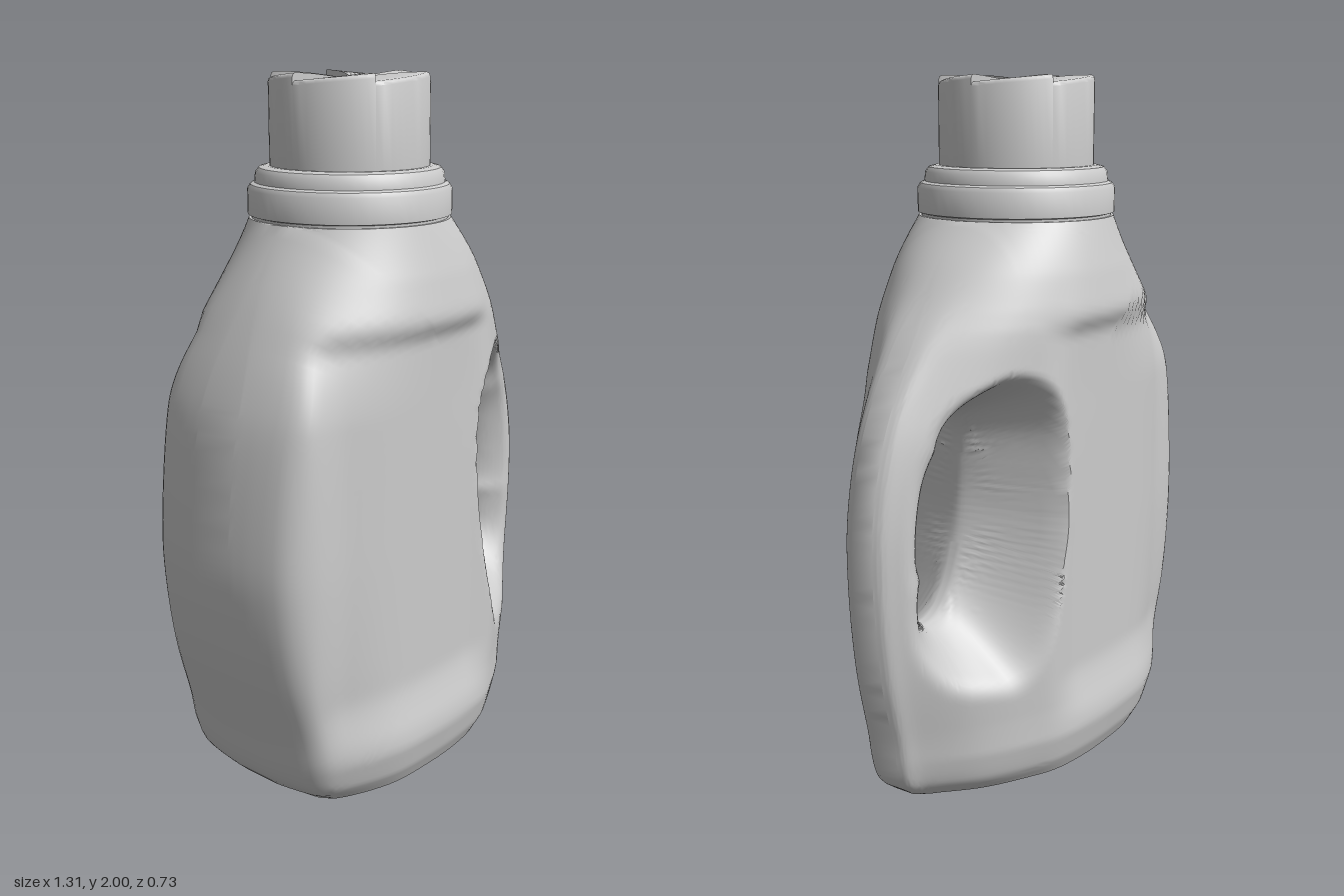
import * as THREE from 'three';
import { toCreasedNormals } from 'three/addons/utils/BufferGeometryUtils.js';

const material = new THREE.MeshStandardMaterial({ color: 0xcccccc });
const NECK_X = -0.085;
const smooth = THREE.MathUtils.smoothstep;

const spline = (pts, n, closed = false) => {
  const c = new THREE.CatmullRomCurve3(pts.map(([x, y]) => new THREE.Vector3(x, y, 0)), closed, 'centripetal');
  return c.getPoints(n).map((p) => [p.x, p.y]);
};

// Piecewise linear lookup in a list of [key, value] sorted by key
function lookup(table, k) {
  if (k <= table[0][0]) return table[0][1];
  for (let i = 1; i < table.length; i++) {
    if (k <= table[i][0]) {
      const [a, va] = table[i - 1], [b, vb] = table[i];
      return va + (vb - va) * (k - a) / Math.max(b - a, 1e-9);
    }
  }
  return table[table.length - 1][1];
}

// Skin over rows of points, each row a closed loop
function skin(name, rows, crease) {
  const n = rows[0].length, index = [];
  for (let r = 0; r < rows.length - 1; r++) {
    for (let i = 0; i < n; i++) {
      const j = (i + 1) % n;
      const a = r * n + i, b = (r + 1) * n + i, c = (r + 1) * n + j, d = r * n + j;
      index.push(a, b, c, a, c, d);
    }
  }
  const g = new THREE.BufferGeometry();
  g.setAttribute('position', new THREE.Float32BufferAttribute(rows.flat(2), 3));
  g.setIndex(index);
  const mesh = new THREE.Mesh(toCreasedNormals(g, crease), material);
  mesh.name = name;
  return mesh;
}

// Side outlines, bottom to top
const leftSide = spline([[-0.48, 0], [-0.525, 0.05], [-0.565, 0.2], [-0.62, 0.4], [-0.65, 0.6], [-0.655, 0.75],
  [-0.62, 1.06], [-0.58, 1.2], [-0.49, 1.4], [-0.37, 1.605]], 60);
const rightSide = spline([[0.49, 0], [0.545, 0.05], [0.58, 0.2], [0.625, 0.4], [0.65, 0.65], [0.645, 0.85],
  [0.59, 1.07], [0.48, 1.27], [0.38, 1.4], [0.3, 1.5], [0.2, 1.605]], 70);
const flip = (pts) => pts.map(([x, y]) => [y, x]);
const leftOf = flip(leftSide), rightOf = flip(rightSide);

// Half depth by height, and the teardrop plan from left end to handle end
const depthOf = [[0, 0.32], [0.05, 0.345], [0.13, 0.365], [0.22, 0.36], [1.33, 0.357], [1.38, 0.35], [1.47, 0.328], [1.605, 0.285]];
const plan = spline([[0, 0.2], [0.012, 0.45], [0.035, 0.69], [0.075, 0.8], [0.24, 0.98], [0.38, 1], [0.5, 0.985],
  [0.63, 0.92], [0.73, 0.78], [0.85, 0.56], [0.96, 0.25], [0.99, 0.17], [1, 0.1]], 120);

// Grip opening
const HX = 0.33, HY = 0.8;
const hole = spline([[0.465, 0.8], [0.44, 0.91], [0.395, 0.99], [0.38, 1.05], [0.33, 1.085], [0.26, 1.08], [0.22, 1.02],
  [0.208, 0.9], [0.215, 0.78], [0.24, 0.67], [0.29, 0.56], [0.35, 0.5], [0.41, 0.49], [0.46, 0.54],
  [0.462, 0.61], [0.452, 0.66], [0.467, 0.71]], 100, true);
const holeRadius = hole.map(([x, y]) => [Math.atan2(y - HY, x - HX), Math.hypot(x - HX, y - HY)])
  .sort((a, b) => a[0] - b[0]);
holeRadius.unshift([holeRadius.at(-1)[0] - 2 * Math.PI, holeRadius.at(-1)[1]]);
holeRadius.push([holeRadius[1][0] + 2 * Math.PI, holeRadius[1][1]]);

function halfDepth(x, y, d) {
  const xl = lookup(leftOf, y), xr = lookup(rightOf, y);
  const u = THREE.MathUtils.clamp((x - xl) / (xr - xl), 0, 1);
  // teardrop plan turning into a circle at the neck
  const round = Math.sqrt(Math.max(0, 1 - (2 * u - 1) ** 2));
  const w = smooth(y, 1.1, 1.6);
  let base = lookup(depthOf, y) * (lookup(plan, u) * (1 - w) + round * w);
  // label panel recess
  base -= 0.03 * smooth(y, 0.15, 0.32) * (1 - smooth(y, 1.29, 1.36))
    * smooth(x, -0.56, -0.42) * (1 - smooth(x, 0.05, 0.22));
  // finger scoop around the grip: steep towards the body, rounded on the handle
  const ex = (x - HX) / 0.13, ey = (y - HY) / 0.3, len = Math.hypot(ex, ey);
  const cx = ex / len, cy = ey / len;
  const k = 3.6 * Math.max(0, -cx) ** 2 + (cy > 0 ? 1.8 : 1.2) * cy * cy;
  const scoop = Math.sqrt(0.12 * d + (k * d) ** 2);
  const m = Math.max(0.04 - Math.abs(base - scoop), 0) / 0.04;
  return Math.max(0, Math.min(base, scoop) - m * m * 0.01 * Math.min(1, d / 0.03));
}

// Bottle body: rings from the grip opening to the outline, front then back
function body() {
  const line = (a, b, n) => Array.from({ length: n }, (_, i) =>
    [a[0] + (b[0] - a[0]) * i / n, a[1] + (b[1] - a[1]) * i / n]);
  const outline = [
    ...line(leftSide[0], rightSide[0], 36), ...rightSide.slice(0, -1),
    ...line(rightSide.at(-1), leftSide.at(-1), 28), ...leftSide.slice(1).reverse(),
  ];
  const inner = outline.map(([x, y]) => {
    const a = Math.atan2(y - HY, x - HX), r = lookup(holeRadius, a);
    return [HX + r * Math.cos(a), HY + r * Math.sin(a)];
  });
  const RINGS = 52, front = [];
  for (let r = 0; r <= RINGS; r++) {
    const t = (1 - Math.cos(Math.PI * r / RINGS)) / 2;
    front.push(outline.map(([ox, oy], i) => {
      const [ix, iy] = inner[i];
      const x = ix + (ox - ix) * t, y = iy + (oy - iy) * t;
      let d = Math.hypot(x - ix, y - iy);
      if (r > 0) for (const [hx, hy] of hole) d = Math.min(d, Math.hypot(x - hx, y - hy));
      return [x, y, r === 0 ? 0 : halfDepth(x, y, d)];
    }));
  }
  const back = front.map((ring) => ring.map(([x, y, z]) => [x, y, -z])).reverse();
  return skin('bottleBody', [...front, ...back], 0.85);
}

// Stepped collar below the cap
function collar() {
  const pts = [[0.27, 1.59], [0.278, 1.6], [0.278, 1.612], [0.288, 1.615], [0.288, 1.685], [0.28, 1.698],
    [0.268, 1.703], [0.265, 1.73], [0.255, 1.743], [0.235, 1.748], [0.2, 1.748]];
  const g = new THREE.LatheGeometry(pts.map(([r, y]) => new THREE.Vector2(r, y)), 48);
  const mesh = new THREE.Mesh(toCreasedNormals(g, 0.6), material);
  mesh.position.x = NECK_X;
  mesh.name = 'collar';
  return mesh;
}

// Cap with six swirled, ramped blades on top
function cap() {
  const R = 0.225, BLADES = 6, STEPS = 10;
  const ring = (r, top, drop = 0) => {
    const row = [];
    for (let b = 0; b < BLADES; b++) {
      for (let s = 0; s <= STEPS; s++) {
        const f = s / STEPS, q = Math.min(1, r / (R - 0.01));
        const a = -(b + f) / BLADES * 2 * Math.PI + 0.35 * (1 - q);
        const y = top ?? 1.98 + 0.02 * f * Math.sin(q * Math.PI * 0.5) - drop;
        row.push([r * Math.cos(a), y, r * Math.sin(a)]);
      }
    }
    return row;
  };
  const rows = [0, 0.03, 0.07, 0.11, 0.15, 0.185, 0.215].map((r) => ring(r));
  rows.push(ring(0.222, undefined, 0.004), ring(R, undefined, 0.012), ring(R, 1.74));
  const mesh = skin('cap', rows, 0.7);
  mesh.position.x = NECK_X;
  return mesh;
}

export function createModel() {
  const group = new THREE.Group();
  group.name = 'detergentBottle';
  group.add(body(), collar(), cap());
  return group;
}
